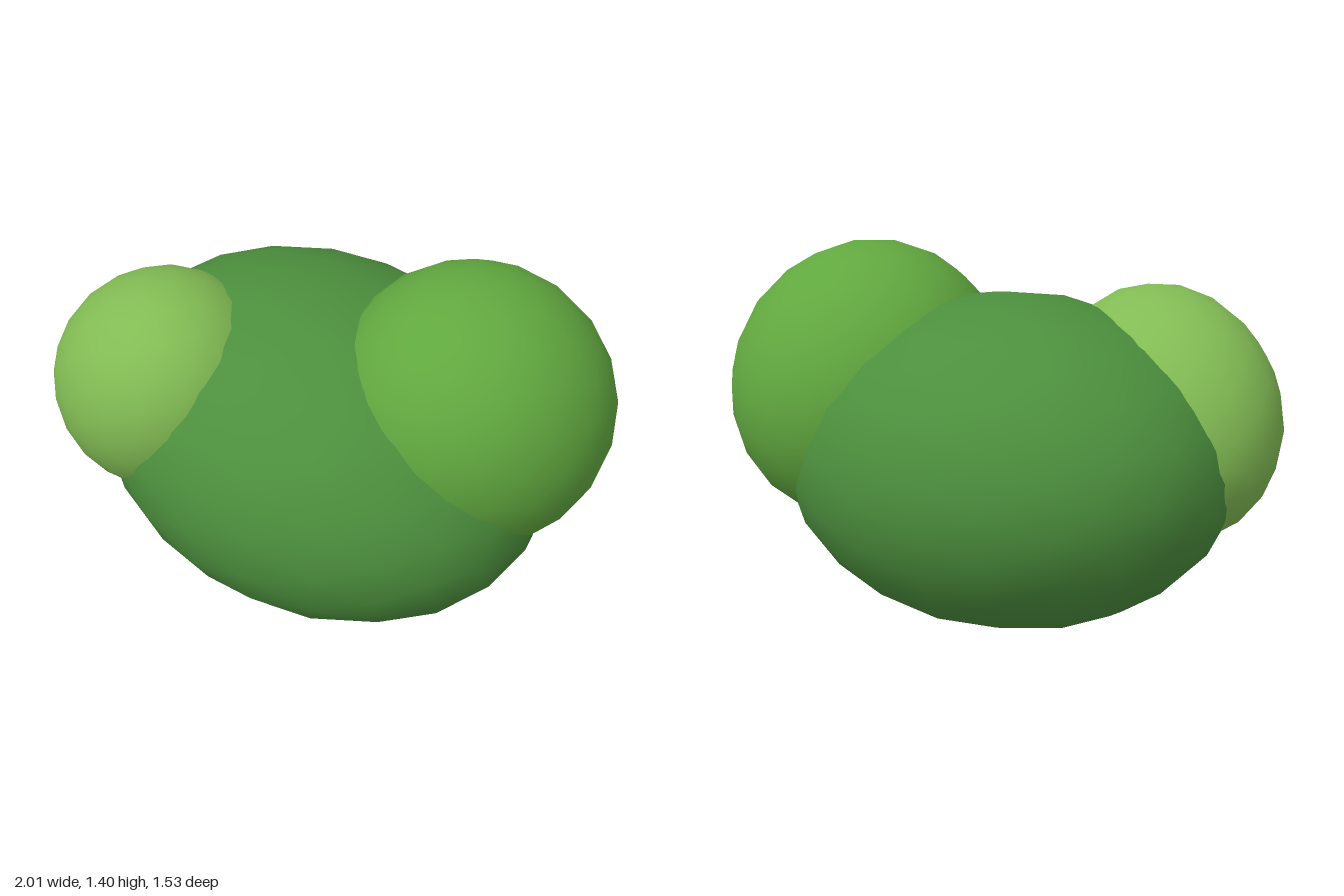
import * as THREE from 'three';

// One smooth, low-poly foliage clump: an ellipsoid whose own y axis points along `axis`
function clump(name, color, center, radii, axis) {
  const mesh = new THREE.Mesh(
    new THREE.IcosahedronGeometry(1, 3),
    new THREE.MeshStandardMaterial({ color })
  );
  mesh.name = name;
  mesh.position.set(...center);
  mesh.scale.set(...radii);
  mesh.quaternion.setFromUnitVectors(
    new THREE.Vector3(0, 1, 0),
    new THREE.Vector3(...axis).normalize()
  );
  return mesh;
}

export function createModel() {
  const bush = new THREE.Group();
  bush.name = 'bush';
  bush.add(
    // broad dark body, leaning slightly
    clump('mainFoliage', 0x4c8f3d, [-0.055, 0.625, -0.012], [0.93, 0.625, 0.757], [0.065, 1, 0]),
    // mid-green clump at the back left
    clump('backLeftFoliage', 0x61a83f, [0.48, 0.87, -0.22], [0.52, 0.56, 0.525], [0, 1, 1]),
    // light clump at the front right, stretched diagonally
    clump('frontRightFoliage', 0x82bc54, [-0.54, 0.825, 0.32], [0.425, 0.51, 0.425], [0.68, 0.61, 0.41])
  );
  return bush;
}
